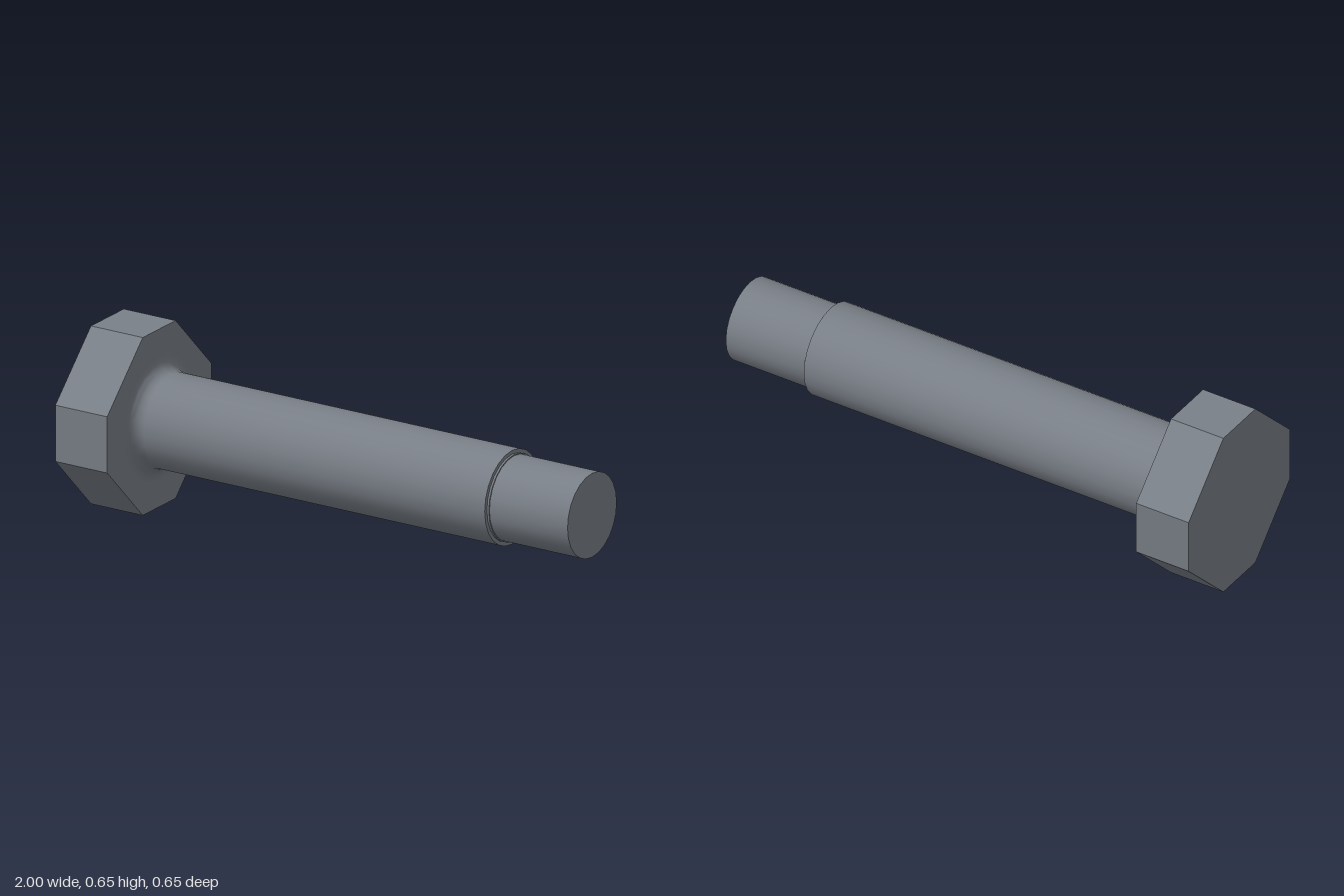
import * as THREE from 'three';
import { toCreasedNormals } from 'three/addons/utils/BufferGeometryUtils.js';

const AXIS_Y = 0.326; // height of the bolt's axis
const HEAD_END = -0.786; // where the head meets the shank
const SHANK_R = 0.172;

// Turned part lying along x, from [x, radius] pairs
function turned(name, profile, material) {
  const points = profile.map(([x, r]) => new THREE.Vector2(r, x));
  const geometry = toCreasedNormals(new THREE.LatheGeometry(points, 24), 0.6);
  geometry.rotateZ(-Math.PI / 2);
  const mesh = new THREE.Mesh(geometry, material);
  mesh.name = name;
  return mesh;
}

export function createModel() {
  const group = new THREE.Group();
  group.name = 'bolt';
  const material = new THREE.MeshStandardMaterial({ color: 0x7a8088 });

  // Eight-sided head: a square block with its corners cut off
  const a = 0.326, b = 0.103;
  const outline = new THREE.Shape(
    [[a, -b], [a, b], [b, a], [-b, a], [-a, b], [-a, -b], [-b, -a], [b, -a]]
      .map(([x, y]) => new THREE.Vector2(x, y)));
  const headGeometry = new THREE.ExtrudeGeometry(outline, { depth: HEAD_END + 1, bevelEnabled: false });
  headGeometry.rotateY(Math.PI / 2).translate(-1, 0, 0);
  const head = new THREE.Mesh(headGeometry, material);
  head.name = 'head';

  // Shank: concave fillet at the head, straight barrel, flat shoulder
  const fillet = 0.051, steps = 8;
  const shankProfile = [];
  for (let i = 0; i <= steps; i++) {
    const t = (i / steps) * Math.PI / 2;
    shankProfile.push([
      HEAD_END + fillet * (1 - Math.cos(t)),
      SHANK_R + fillet * (1 - Math.sin(t)),
    ]);
  }
  shankProfile.push([0.67, SHANK_R], [0.67, 0.158]);
  const shank = turned('shank', shankProfile, material);

  // Narrower tip with a small stepped collar at the shoulder and a flat end
  const tip = turned('tip', [[0.67, 0.158], [0.678, 0.158], [0.678, 0.154], [1, 0.154], [1, 0]], material);

  group.add(head, shank, tip);
  group.children.forEach((part) => { part.position.y = AXIS_Y; });
  return group;
}
